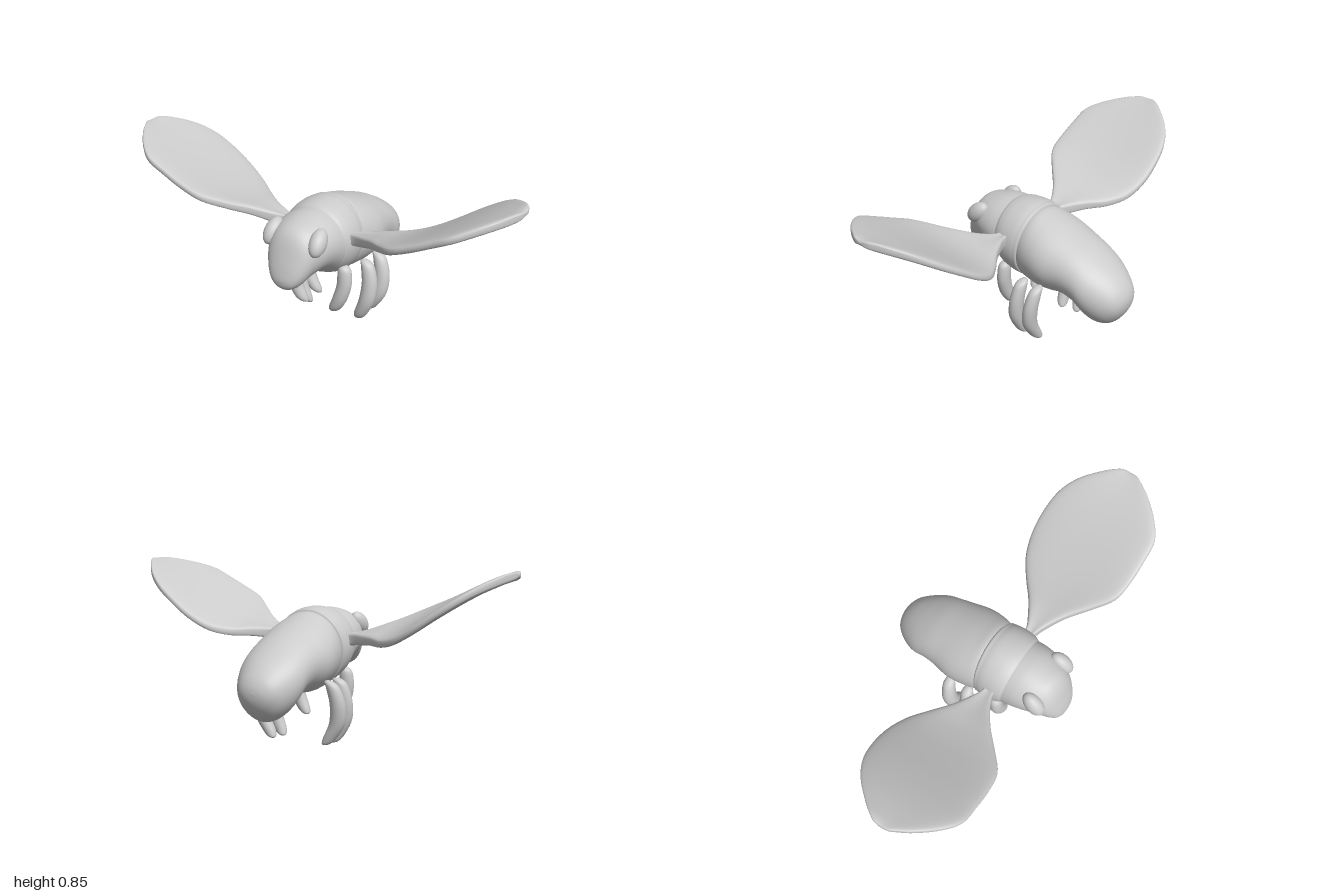
import * as THREE from 'three';

const material = new THREE.MeshStandardMaterial({ color: 0xcccccc, roughness: 0.7 });

// Smooth spline through rows of numbers, t from 0 to 1
function sample(rows, t) {
  const last = rows.length - 1;
  const i = Math.min(Math.floor(t * last), last - 1);
  const f = t * last - i;
  const at = (k) => rows[Math.max(0, Math.min(last, k))];
  return rows[i].map((p1, c) => {
    const p0 = at(i - 1)[c], p2 = at(i + 1)[c], p3 = at(i + 2)[c];
    const m1 = (p2 - p0) / 2, m2 = (p3 - p1) / 2;
    return p1 + f * (m1 + f * (3 * (p2 - p1) - 2 * m1 - m2 + f * (2 * (p1 - p2) + m1 + m2)));
  });
}

// Closed skin over rings; point(row, angle) gives [x, y, z]
function loft(name, rows, point, perSpan = 5, sides = 40) {
  const count = (rows.length - 1) * perSpan;
  const positions = [], index = [];
  for (let i = 0; i <= count; i++) {
    const row = sample(rows, i / count);
    for (let j = 0; j < sides; j++) {
      positions.push(...point(row, (j / sides) * Math.PI * 2));
      if (i === count) continue;
      const a = i * sides + j, b = i * sides + ((j + 1) % sides);
      index.push(a, a + sides, b, b, a + sides, b + sides);
    }
  }
  const geometry = new THREE.BufferGeometry();
  geometry.setAttribute('position', new THREE.Float32BufferAttribute(positions, 3));
  geometry.setIndex(index);
  geometry.computeVertexNormals();
  const mesh = new THREE.Mesh(geometry, material);
  mesh.name = name;
  return mesh;
}

// Body rows: z, bottom y, top y, half width, backward lean, narrowing of the underside
const bodyPoint = ([z, bottom, top, w, lean, pear], a) => {
  const s = Math.sin(a);
  return [
    Math.max(0, w) * Math.cos(a) * (1 + pear * s),
    (bottom + top) / 2 + ((top - bottom) / 2) * s,
    z - lean * s,
  ];
};

// Head flowing over a soft neck crease into the rounded thorax
const headRows = [
  [0.477, 0.375, 0.375, 0, 0, 0],
  [0.472, 0.345, 0.405, 0.04, 0, 0],
  [0.455, 0.325, 0.465, 0.075, 0, 0.05],
  [0.42, 0.318, 0.555, 0.106, 0, 0.08],
  [0.38, 0.333, 0.6, 0.126, 0, 0.08],
  [0.32, 0.35, 0.62, 0.152, 0, 0.05],
  [0.26, 0.34, 0.632, 0.165, 0, 0],
  [0.215, 0.312, 0.634, 0.169, 0, 0],
  [0.2, 0.303, 0.634, 0.17, 0, 0],
  [0.185, 0.295, 0.641, 0.178, 0, 0],
  [0.15, 0.28, 0.648, 0.187, 0.005, 0],
  [0.105, 0.268, 0.65, 0.188, 0.015, 0],
  [0.075, 0.264, 0.645, 0.184, 0.02, 0],
  [0.056, 0.27, 0.634, 0.174, 0.025, 0],
  [0.052, 0.34, 0.56, 0.11, 0.02, 0],
];
const abdomenRows = [
  [0.11, 0.36, 0.54, 0.08, 0, 0],
  [0.09, 0.285, 0.605, 0.145, 0.01, 0],
  [0.05, 0.262, 0.632, 0.176, 0.02, 0],
  [-0.03, 0.25, 0.617, 0.194, 0, 0],
  [-0.1, 0.255, 0.593, 0.196, 0, 0],
  [-0.18, 0.262, 0.561, 0.18, 0, 0.04],
  [-0.25, 0.235, 0.531, 0.17, 0, 0.1],
  [-0.31, 0.183, 0.498, 0.164, 0, 0.15],
  [-0.36, 0.167, 0.467, 0.148, 0, 0.15],
  [-0.41, 0.185, 0.43, 0.122, 0, 0.1],
  [-0.45, 0.23, 0.388, 0.088, 0, 0.05],
  [-0.471, 0.275, 0.348, 0.045, 0, 0],
  [-0.477, 0.315, 0.315, 0, 0, 0],
];

// Wing rows: x, mid y, rear z, front z, half thickness, rise towards the front
const wingRows = [
  [0.13, 0.495, 0.11, 0.17, 0.04, 0],
  [0.19, 0.498, 0.11, 0.17, 0.041, 0.05],
  [0.26, 0.512, 0.075, 0.205, 0.039, 0.14],
  [0.33, 0.53, 0.03, 0.255, 0.036, 0.2],
  [0.41, 0.55, -0.035, 0.33, 0.034, 0.22],
  [0.5, 0.585, -0.095, 0.405, 0.034, 0.2],
  [0.6, 0.636, -0.124, 0.424, 0.034, 0.16],
  [0.7, 0.695, -0.124, 0.425, 0.034, 0.12],
  [0.79, 0.747, -0.103, 0.418, 0.034, 0.09],
  [0.87, 0.788, -0.05, 0.36, 0.033, 0.06],
  [0.94, 0.818, 0.03, 0.28, 0.032, 0.03],
  [0.975, 0.831, 0.08, 0.225, 0.029, 0],
  [0.994, 0.837, 0.115, 0.19, 0.019, 0],
  [1, 0.838, 0.152, 0.152, 0, 0],
];
function wing(side, label) {
  return loft(label + 'Wing', wingRows, ([x, y, rear, front, thick, rise], a) => {
    const c = Math.cos(a * side), s = Math.sin(a * side);
    const across = Math.sign(c) * Math.abs(c) ** 0.8;
    const edge = Math.sign(s) * Math.abs(s) ** 0.55;
    const half = (front - rear) / 2;
    // The blade thins inside its rounded rim
    const blade = thick * (0.62 + 0.38 * across * across);
    return [side * x, y + edge * blade + rise * across * half, (front + rear) / 2 + across * half];
  }, 5, 48);
}

// Leg rows: x, y, z, radius
const legs = {
  Front: [
    [0.135, 0.355, 0.16, 0], [0.138, 0.346, 0.16, 0.02], [0.143, 0.32, 0.162, 0.03],
    [0.144, 0.25, 0.167, 0.032], [0.124, 0.175, 0.172, 0.032], [0.098, 0.12, 0.17, 0.028],
    [0.082, 0.096, 0.164, 0.017], [0.076, 0.09, 0.16, 0],
  ],
  Middle: [
    [0.165, 0.326, 0.015, 0], [0.17, 0.318, 0.016, 0.02], [0.187, 0.29, 0.02, 0.03],
    [0.203, 0.21, 0.03, 0.034], [0.195, 0.12, 0.04, 0.035], [0.162, 0.04, 0.04, 0.029],
    [0.145, 0.008, 0.032, 0.018], [0.139, 0, 0.027, 0],
  ],
  Hind: [
    [0.17, 0.33, -0.085, 0], [0.178, 0.322, -0.084, 0.02], [0.198, 0.29, -0.079, 0.03],
    [0.216, 0.21, -0.068, 0.034], [0.207, 0.12, -0.056, 0.034], [0.168, 0.045, -0.054, 0.029],
    [0.15, 0.016, -0.06, 0.018], [0.142, 0.008, -0.066, 0],
  ],
};
const leg = (side, name, rows) => loft(name, rows, ([x, y, z, r], a) => [
  side * (x + 1.15 * r * Math.cos(a * side)), y, z - r * Math.sin(a * side),
], 5, 20);

export function createModel() {
  const model = new THREE.Group();
  model.name = 'flyingInsect';
  model.add(
    loft('headAndThorax', headRows, bodyPoint),
    loft('abdomen', abdomenRows, bodyPoint),
  );

  for (const [side, label] of [[1, 'left'], [-1, 'right']]) {
    model.add(wing(side, label));
    for (const key in legs) model.add(leg(side, label + key + 'Leg', legs[key]));

    // Slanted oval eye
    const eye = new THREE.Mesh(new THREE.SphereGeometry(1, 32, 20), material);
    eye.name = label + 'Eye';
    eye.scale.set(0.04, 0.07, 0.044);
    eye.position.set(side * 0.121, 0.548, 0.352);
    eye.rotation.set(-0.8, 0, side * 0.08);
    model.add(eye);
  }
  return model;
}
